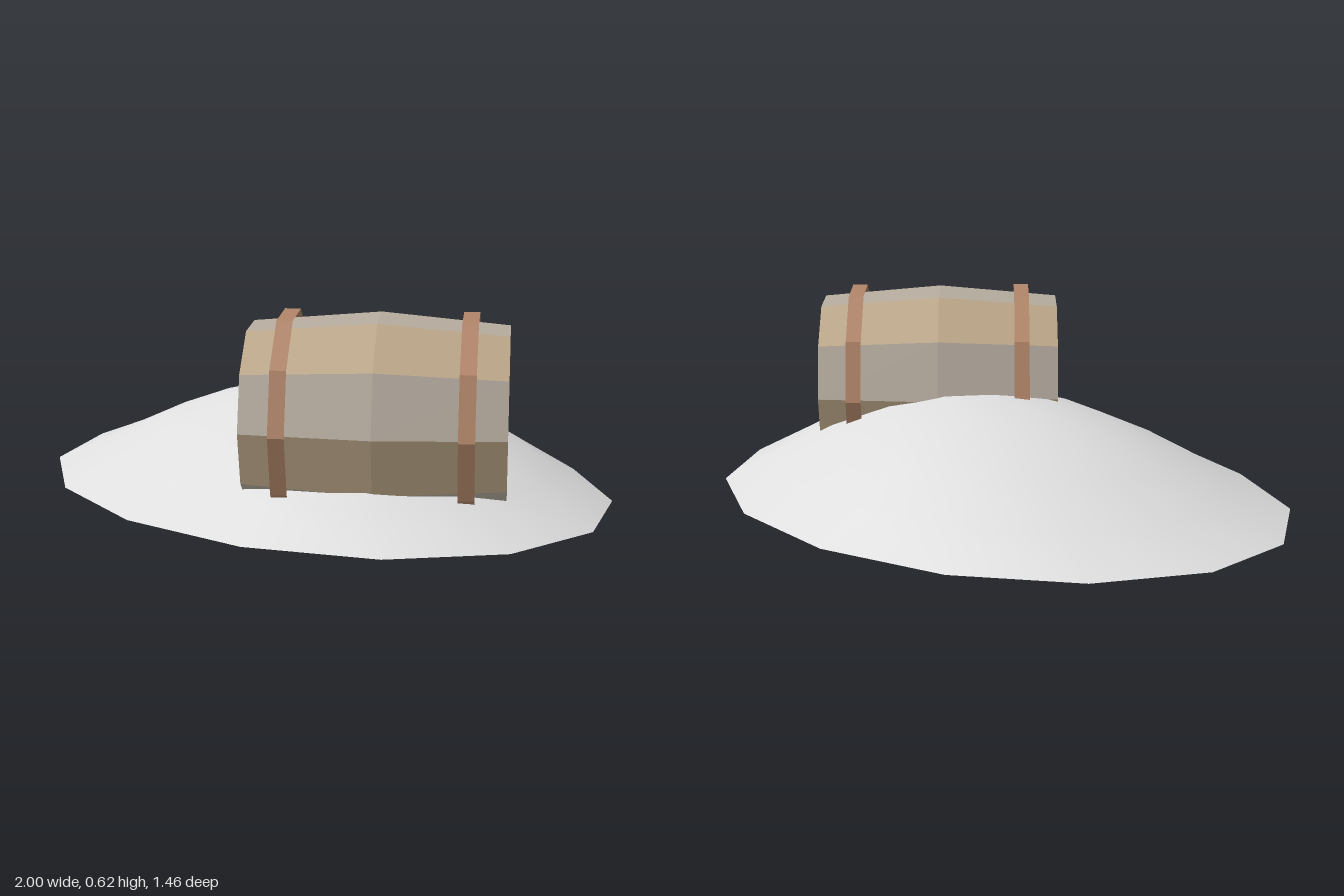
import * as THREE from 'three';
import { mergeVertices } from 'three/addons/utils/BufferGeometryUtils.js';

const material = (name, color) =>
  new THREE.MeshStandardMaterial({ name, color, side: THREE.DoubleSide });

const MOUND = material('pale mound', 0xdedede);
const TAN = material('tan wood', 0xbaa587);
const GREY = material('grey wood', 0xb5ab9e);
const COPPER = material('copper hoop', 0xb08468);
const DARK = material('dark inside', 0x6f5d54);

const SIDES = 10, STEP = (Math.PI * 2) / SIDES;
const HALF = 0.4, END_R = 0.287, MID_R = 0.322, HOOP_R = 0.326;

function part(name, geometry, mat) {
  const mesh = new THREE.Mesh(geometry, mat);
  mesh.name = name;
  return mesh;
}

// Flat facets
function faceted(geometry) {
  const flat = geometry.toNonIndexed();
  flat.computeVertexNormals();
  return flat;
}

// Low mound: a 14-sided dome, oval in plan and slightly fuller on the left
function createMound() {
  const profile = [[1, 0], [0.8, 0.095], [0.6, 0.197], [0.4, 0.274], [0.2, 0.318], [0, 0.33]]
    .map(([r, y]) => new THREE.Vector2(r, y));
  let geometry = new THREE.LatheGeometry(profile, 14, Math.PI / 2);
  geometry.scale(1, 1, 0.75);
  const p = geometry.attributes.position;
  for (let i = 0; i < p.count; i++) p.setY(i, p.getY(i) * (1 + 0.18 * p.getX(i)));
  geometry.deleteAttribute('uv');
  geometry.deleteAttribute('normal');
  geometry = mergeVertices(geometry);
  geometry.computeVertexNormals();
  return part('mound', geometry, MOUND);
}

// Barrel lying along its local x axis
function createBarrel() {
  const barrel = new THREE.Group();
  barrel.name = 'barrel';

  // Staves in alternating woods
  const profile = [[END_R, -HALF], [MID_R, 0], [END_R, HALF]]
    .map(([r, y]) => new THREE.Vector2(r, y));
  for (let i = 0; i < SIDES; i++) {
    const stave = new THREE.LatheGeometry(profile, 1, i * STEP, STEP).rotateZ(-Math.PI / 2);
    barrel.add(part('stave', faceted(stave), i % 2 ? GREY : TAN));
  }

  // Closed far end and dark recessed near end
  const lid = new THREE.CircleGeometry(END_R, SIDES).rotateY(Math.PI / 2);
  lid.translate(HALF, 0, 0);
  barrel.add(part('closedEnd', lid, TAN));
  const recess = new THREE.CircleGeometry(END_R, SIDES).rotateY(-Math.PI / 2);
  recess.translate(-HALF + 0.035, 0, 0);
  barrel.add(part('recessedEnd', recess, DARK));

  // Hoops standing just off the staves
  for (const x of [-0.28, 0.28]) {
    const hoop = new THREE.CylinderGeometry(HOOP_R, HOOP_R, 0.05, SIDES, 1, true);
    hoop.rotateZ(-Math.PI / 2).translate(x, 0, 0);
    barrel.add(part('hoop', faceted(hoop), COPPER));
  }

  barrel.position.set(0.35, 0.31, 0.195);
  barrel.rotation.y = THREE.MathUtils.degToRad(29.5);
  return barrel;
}

export function createModel() {
  const model = new THREE.Group();
  model.name = 'barrelInMound';
  model.add(createMound(), createBarrel());
  return model;
}
